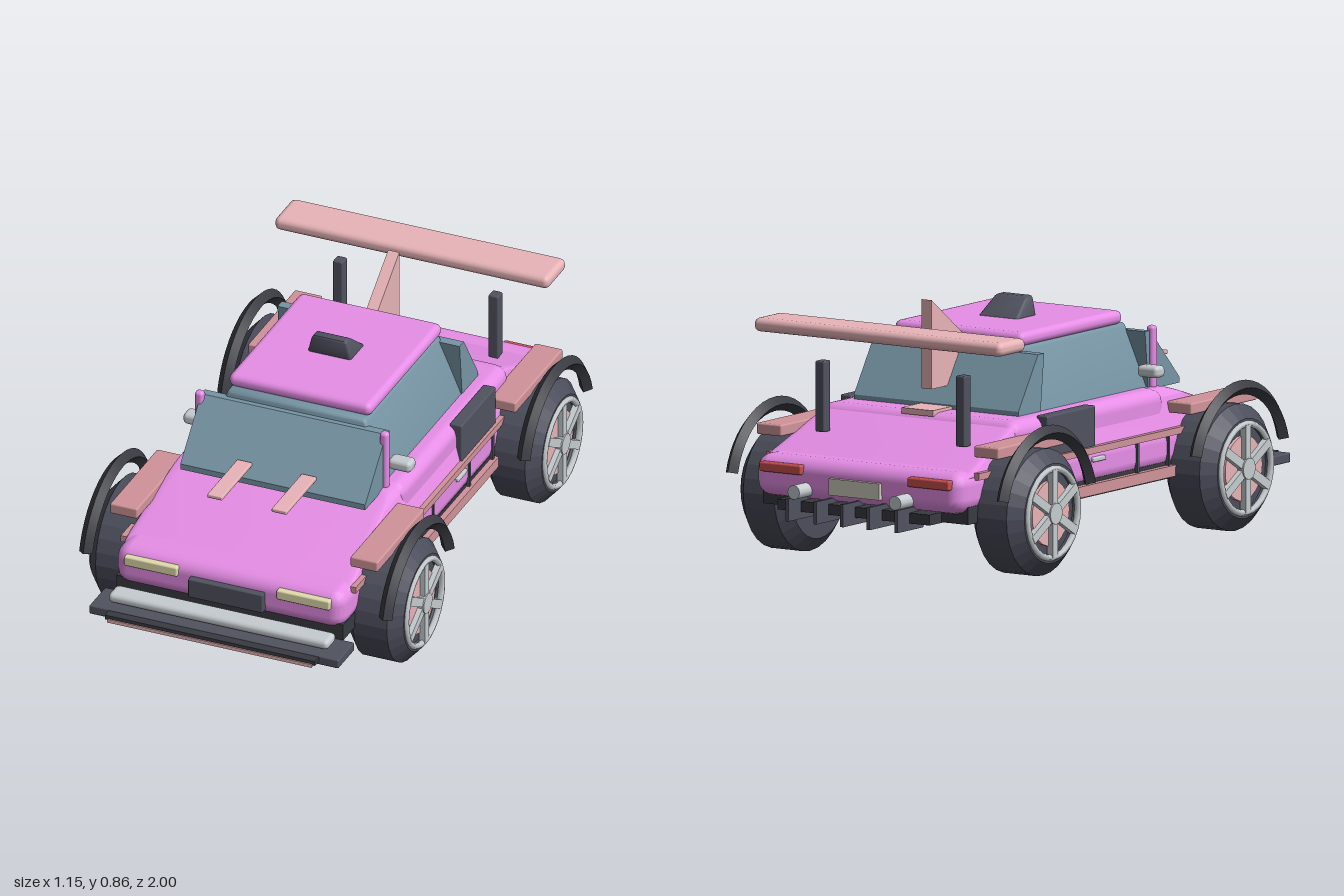
import * as THREE from 'three';
import { RoundedBoxGeometry } from 'three/addons/geometries/RoundedBoxGeometry.js';
import { mergeVertices, toCreasedNormals } from 'three/addons/utils/BufferGeometryUtils.js';

const COLORS = {
  violet: 0xe78ee7, glass: 0x7795a5, pink: 0xe8b4b8, rose: 0xd0949a, tire: 0x4b4d5b, dark: 0x505260,
  black: 0x3a3b42, chrome: 0xc6ccd0, cream: 0xe3dcae, red: 0xcc4f4f, plate: 0xcfcfbf,
};
const materials = {};
for (const key in COLORS) materials[key] = new THREE.MeshStandardMaterial({ color: COLORS[key] });
const tireMaterial = new THREE.MeshStandardMaterial({ color: COLORS.tire, flatShading: true, side: THREE.DoubleSide });

export function createModel() {
  const car = new THREE.Group();
  car.name = 'car';

  function add(name, color, geometry, parent = car) {
    const mesh = new THREE.Mesh(geometry, materials[color]);
    mesh.name = name;
    parent.add(mesh);
    return mesh;
  }

  // Box given by its extents, rounded when r > 0
  function boxGeometry(x, y, z, r = 0) {
    const w = x[1] - x[0], h = y[1] - y[0], d = z[1] - z[0];
    const g = r ? new RoundedBoxGeometry(w, h, d, 2, r) : new THREE.BoxGeometry(w, h, d);
    return g.translate((x[0] + x[1]) / 2, (y[0] + y[1]) / 2, (z[0] + z[1]) / 2);
  }
  const box = (name, color, x, y, z, r) => add(name, color, boxGeometry(x, y, z, r));
  const wide = (name, color, halfX, y, z, r) => box(name, color, [-halfX, halfX], y, z, r);
  function pair(name, color, x, y, z, r) {
    box(name + 'Left', color, x, y, z, r);
    box(name + 'Right', color, [-x[1], -x[0]], y, z, r);
  }

  // Rounded box whose top is narrowed to topX and to the span topZ
  function tapered(name, color, halfX, y, z, r, topX, topZ) {
    let g = boxGeometry([-halfX, halfX], y, z, r);
    const p = g.attributes.position;
    for (let i = 0; i < p.count; i++) {
      const t = (p.getY(i) - y[0]) / (y[1] - y[0]);
      const u = (p.getZ(i) - z[0]) / (z[1] - z[0]);
      const z0 = THREE.MathUtils.lerp(z[0], topZ[0], t);
      const z1 = THREE.MathUtils.lerp(z[1], topZ[1], t);
      p.setX(i, p.getX(i) * THREE.MathUtils.lerp(1, topX / halfX, t));
      p.setZ(i, THREE.MathUtils.lerp(z0, z1, u));
    }
    g.deleteAttribute('normal');
    g.deleteAttribute('uv');
    g = toCreasedNormals(mergeVertices(g), 0.6);
    return add(name, color, g);
  }

  // Side profile of (z, y) points extruded across x
  function profile(name, color, points, x0, x1) {
    const shape = new THREE.Shape(points.map(([z, y]) => new THREE.Vector2(z, y)));
    const g = new THREE.ExtrudeGeometry(shape, { depth: x1 - x0, bevelEnabled: false });
    g.rotateY(-Math.PI / 2).translate(x1, 0, 0);
    return add(name, color, g);
  }

  // Body shell and floor
  wide('lowerBody', 'violet', 0.41, [0.225, 0.365], [-0.915, 0.845], 0.05);
  tapered('upperBody', 'violet', 0.41, [0.33, 0.488], [-0.91, 0.84], 0.03, 0.37, [-0.52, 0.36]);
  wide('middleBody', 'violet', 0.39, [0.35, 0.49], [-0.57, 0.32], 0.045);
  wide('floor', 'black', 0.405, [0.192, 0.25], [-0.86, 0.83]);

  // Cabin
  tapered('cabinGlass', 'glass', 0.33, [0.47, 0.7], [-0.33, 0.31], 0.015, 0.245, [-0.32, 0.29]);
  profile('windshield', 'glass', [[0.3, 0.48], [0.48, 0.48], [0.48, 0.5], [0.31, 0.675], [0.28, 0.675]], -0.33, 0.33);
  profile('rearWindow', 'glass', [[-0.32, 0.49], [-0.3, 0.68], [-0.335, 0.68], [-0.45, 0.505], [-0.45, 0.49]], -0.325, 0.325);
  wide('roof', 'violet', 0.255, [0.695, 0.742], [-0.325, 0.267], 0.022);
  pair('windshieldPost', 'violet', [0.315, 0.345], [0.48, 0.692], [0.305, 0.335], 0.012);
  tapered('roofScoop', 'dark', 0.08, [0.735, 0.806], [-0.1, 0.022], 0.012, 0.06, [-0.012, 0.024]);

  // Fin, wing and wipers
  profile('tailFin', 'pink', [[-0.32, 0.72], [-0.36, 0.56], [-0.505, 0.56], [-0.505, 0.855]], -0.02, 0.02);
  wide('finBase', 'pink', 0.062, [0.48, 0.5], [-0.56, -0.44]);
  wide('wing', 'pink', 0.49, [0.744, 0.79], [-0.797, -0.643], 0.02);
  pair('wingPost', 'dark', [0.26, 0.295], [0.42, 0.655], [-0.72, -0.68], 0.005);
  pair('hoodStrip', 'pink', [0.088, 0.142], [0.53, 0.544], [0.445, 0.692], 0.004);

  // Side details
  pair('mirror', 'chrome', [0.325, 0.407], [0.53, 0.57], [0.235, 0.29], 0.015);
  pair('sideVent', 'dark', [0.365, 0.41], [0.355, 0.492], [-0.405, -0.125], 0.006);
  pair('sideRail', 'rose', [0.4, 0.42], [0.335, 0.358], [-0.82, 0.76]);
  pair('sill', 'rose', [0.39, 0.425], [0.2, 0.237], [-0.75, 0.7]);
  pair('doorHandle', 'chrome', [0.4, 0.42], [0.306, 0.322], [-0.15, -0.075], 0.005);
  for (const z of [0.295, 0.115, -0.18, -0.37]) {
    pair('sideStrut', 'dark', [0.4, 0.416], [0.235, 0.336], [z - 0.005, z + 0.005]);
  }

  // Front end
  pair('headlight', 'cream', [0.177, 0.367], [0.308, 0.343], [0.82, 0.857], 0.006);
  wide('grille', 'dark', 0.133, [0.25, 0.318], [0.83, 0.868], 0.004);
  wide('chromeBumper', 'chrome', 0.393, [0.2, 0.235], [0.855, 0.93], 0.016);
  wide('frontBumper', 'dark', 0.445, [0.163, 0.195], [0.83, 0.96], 0.005);
  wide('splitter', 'black', 0.375, [0.176, 0.192], [0.88, 0.992]);
  wide('splitterTrim', 'pink', 0.365, [0.168, 0.18], [0.9, 0.996]);
  for (const x of [-0.215, -0.07, 0.07, 0.215]) {
    box('splitterBolt', 'black', [x - 0.006, x + 0.006], [0.148, 0.17], [0.93, 0.942]);
  }

  // Rear end
  pair('tailLight', 'red', [0.21, 0.375], [0.31, 0.342], [-0.93, -0.89], 0.006);
  wide('rearPlate', 'plate', 0.1, [0.255, 0.31], [-0.93, -0.9]);
  wide('diffuser', 'black', 0.3, [0.19, 0.225], [-0.93, -0.78]);
  for (const x of [-0.215, -0.105, 0, 0.105, 0.215]) {
    box('diffuserFin', 'dark', [x - 0.006, x + 0.006], [0.167, 0.242], [-1, -0.85]);
  }
  for (const x of [-0.2, 0.2]) {
    const pipe = new THREE.CylinderGeometry(0.024, 0.024, 0.1, 12).rotateX(Math.PI / 2);
    add('exhaust', 'chrome', pipe.translate(x, 0.262, -0.935));
  }

  // Wheels with spoked rims, arches and fender plates
  const tireProfile = [
    [0, -0.1], [0.165, -0.1], [0.21, -0.062], [0.21, 0.06], [0.165, 0.1], [0.148, 0.1], [0.142, 0.082], [0, 0.082],
  ].map(([r, y]) => new THREE.Vector2(r, y));
  const tire = new THREE.LatheGeometry(tireProfile, 28).rotateZ(-Math.PI / 2);

  for (const z of [0.527, -0.597]) {
    for (const side of [1, -1]) {
      const wheel = new THREE.Group();
      wheel.name = (z > 0 ? 'front' : 'rear') + 'Wheel' + (side > 0 ? 'Left' : 'Right');
      wheel.position.set(side * 0.46, 0.21, z);
      wheel.rotation.y = side > 0 ? 0 : Math.PI;
      car.add(wheel);
      const tireMesh = new THREE.Mesh(tire, tireMaterial);
      tireMesh.name = 'tire';
      wheel.add(tireMesh);
      const disc = new THREE.CylinderGeometry(0.108, 0.108, 0.02, 28).rotateZ(Math.PI / 2);
      add('brakeDisc', 'pink', disc.translate(0.083, 0, 0), wheel);
      add('rim', 'chrome', new THREE.TorusGeometry(0.147, 0.011, 6, 28).rotateY(Math.PI / 2).translate(0.1, 0, 0), wheel);
      add('hub', 'chrome', new THREE.CylinderGeometry(0.036, 0.036, 0.035, 12).rotateZ(Math.PI / 2).translate(0.098, 0, 0), wheel);
      for (let i = 0; i < 3; i++) {
        const spoke = new THREE.BoxGeometry(0.022, 0.29, 0.03).rotateX(i * Math.PI / 3);
        add('spoke', 'chrome', spoke.translate(0.1, 0, 0), wheel);
      }

      const sweep = Math.PI * 0.84;
      const arch = new THREE.TorusGeometry(0.262, 0.024, 4, 20, sweep);
      arch.rotateZ((Math.PI - sweep) / 2).rotateY(Math.PI / 2);
      add('wheelArch', 'black', toCreasedNormals(arch.translate(side * 0.535, 0.213, z), 0.6));
    }
    pair('fenderPlate', 'rose', [0.38, 0.478], [0.405, 0.443], [z - 0.195, z + 0.19], 0.006);
  }
  return car;
}
